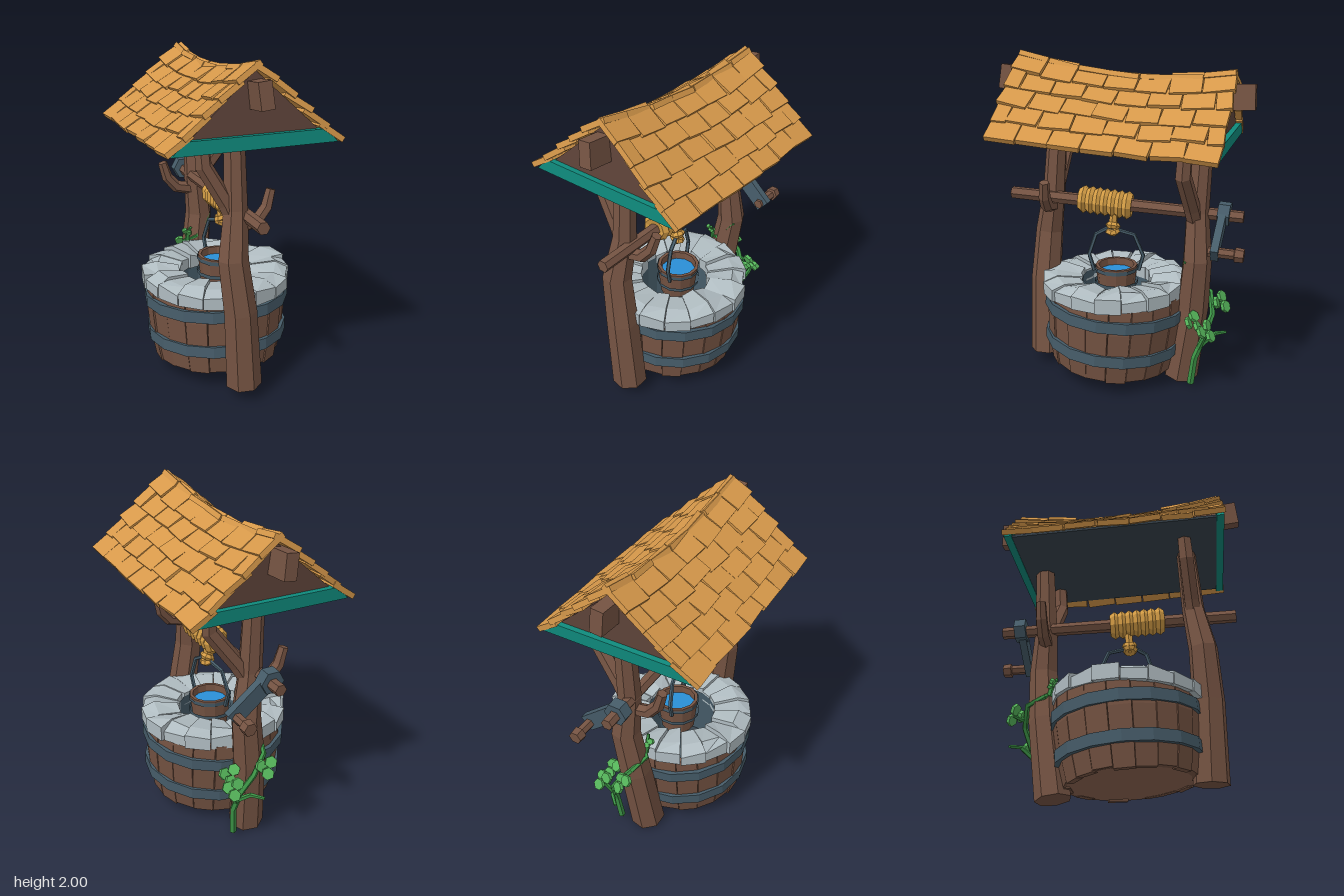
import * as THREE from 'three';

const mat = (color) => new THREE.MeshStandardMaterial({ color, flatShading: true, side: THREE.DoubleSide });
const WOOD = mat(0x765443), DARKWOOD = mat(0x5f443a), BASEWOOD = mat(0x8a6350), SHINGLE = mat(0xd6984a);
const ROPE = mat(0xd39c45), IRON = mat(0x465c69), STONE = mat(0xb0bcc1), TEAL = mat(0x0f8a7c), DARK = mat(0x36424b);
const LEAF = mat(0x55b45a), STEM = mat(0x3c9446), WATER = mat(0x2a8fd6);

let seed = 7;
const rand = () => ((seed = (seed * 16807) % 2147483647) / 2147483647);
const jit = (a) => (rand() * 2 - 1) * a;
const V = (x, y, z) => new THREE.Vector3(x, y, z);

function add(parent, name, geo, material, x = 0, y = 0, z = 0) {
  const m = new THREE.Mesh(geo, material);
  m.name = name;
  m.position.set(x, y, z);
  parent.add(m);
  return m;
}

// move every vertex of a geometry by a rule
function warp(geo, rule) {
  const p = geo.attributes.position, v = new THREE.Vector3();
  for (let i = 0; i < p.count; i++) {
    rule(v.fromBufferAttribute(p, i));
    p.setXYZ(i, v.x, v.y, v.z);
  }
  geo.computeVertexNormals();
  return geo;
}

// tapered branch through points [x, y, z, radius], listed from base to tip
function limb(points, sides = 6) {
  const n = points.length - 1, c = points.map((p) => V(p[0], p[1], p[2]));
  const turns = c.map((_, i) => new THREE.Quaternion().setFromUnitVectors(V(0, 1, 0),
    c[Math.min(n, i + 1)].clone().sub(c[Math.max(0, i - 1)]).normalize()));
  return warp(new THREE.CylinderGeometry(1, 1, 1, sides, n), (v) => {
    const i = Math.round((v.y + 0.5) * n);
    v.y = 0;
    v.multiplyScalar(points[i][3]).applyQuaternion(turns[i]).add(c[i]);
  });
}

// sagging ridge, a little higher at the +x end
const ridgeY = (x) => 1.8 + 0.08 * (x / 0.66) ** 2 + 0.015 * (x / 0.66);
const EAVE = 1.458, REACH = 0.475;

function buildRoof(parent) {
  const roof = new THREE.Group();
  roof.name = 'roof';
  roof.position.x = 0.01;
  roof.rotation.z = -0.02;
  parent.add(roof);
  // gabled core and its underside
  add(roof, 'gableCore', warp(new THREE.BoxGeometry(1.24, 1, 0.84, 8, 1, 1), (v) => {
    if (v.y > 0) { v.y = ridgeY(v.x) - 0.015; v.z *= 0.01; } else v.y = 1.49;
  }), DARKWOOD);
  add(roof, 'ceiling', new THREE.BoxGeometry(1.24, 0.015, 0.88), DARK, 0, 1.482, 0);
  for (const s of [-1, 1]) {
    const beam = add(roof, 'ridgeBeamEnd', new THREE.BoxGeometry(0.22, 0.145, 0.075), WOOD, s * 0.655, 1.755, 0);
    beam.rotation.set(0.1, 0, s * 0.08);
    add(roof, 'gableTrim', warp(new THREE.BoxGeometry(0.045, 0.075, 0.93), (v) => {
      if (v.y > 0) v.z *= 0.86;
    }), TEAL, s * 0.63, 1.508, 0);
  }

  // overlapping rows of shingles on both slopes
  const rows = 5, cols = 7, half = 0.66, w = (2 * half) / cols;
  for (const s of [1, -1]) {
    const slope = new THREE.Group();
    slope.name = 'shingleSlope';
    slope.rotation.y = s > 0 ? 0 : Math.PI;
    roof.add(slope);
    const top = (x) => ridgeY(x * s);
    for (let r = 0; r < rows; r++) {
      const shift = (r % 2) * 0.5;
      for (let i = 0; i < cols + (r % 2); i++) {
        const x0 = Math.max(-half, -half + (i - shift) * w), x1 = Math.min(half, -half + (i + 1 - shift) * w);
        const x = (x0 + x1) / 2, t = (r + 0.5) / rows;
        const rise = top(x) - EAVE;
        const along = V(1, (top(x + 0.01) - top(x - 0.01)) / 0.02 * (1 - t), 0).normalize();
        const down = V(0, -rise, REACH).normalize();
        const up = down.clone().cross(along).normalize();
        const geo = new THREE.BoxGeometry(x1 - x0 - 0.006, 0.032, 0.168 + jit(0.02));
        geo.rotateX(-0.1 + jit(0.04)).rotateY(jit(0.07)).rotateZ(jit(0.05));
        const frame = new THREE.Matrix4().makeBasis(along, up, along.clone().cross(up));
        frame.setPosition(x, top(x) - rise * t + 0.022 + jit(0.005), REACH * t);
        add(slope, 'shingle', geo.applyMatrix4(frame), SHINGLE);
      }
    }
  }
}

function buildBarrel(parent) {
  const barrel = new THREE.Group();
  barrel.name = 'barrel';
  parent.add(barrel);
  // bulging staves
  const staves = 20;
  for (let i = 0; i < staves; i++) {
    const low = jit(0.008), out = jit(0.006);
    const g = warp(new THREE.BoxGeometry(0.126, 0.5, 0.04, 1, 3, 1), (v) => {
      const t = v.y / 0.5 + 0.5;
      v.x *= 0.93 + 0.1 * Math.sin(t * 2.2);
      v.z += 0.36 + 0.045 * Math.sin(t * 2.2) + out;
      v.y += 0.295 + low;
    });
    add(barrel, 'stave', g.rotateY((i / staves) * Math.PI * 2), WOOD);
  }
  add(barrel, 'barrelBase', new THREE.CylinderGeometry(0.375, 0.365, 0.04, 20), BASEWOOD, 0, 0.07, 0);
  add(barrel, 'barrelLining', new THREE.CylinderGeometry(0.385, 0.36, 0.46, 20, 1, true), DARKWOOD, 0, 0.3, 0);
  // iron hoops
  for (const [y, r] of [[0.2, 0.435], [0.425, 0.448]]) {
    const p = [[-0.04, -0.035], [0, -0.035], [0, 0.035], [-0.04, 0.035], [-0.04, -0.035]];
    add(barrel, 'hoop', new THREE.LatheGeometry(p.map(([a, b]) => new THREE.Vector2(r + a, b)), 16), IRON, 0, y, 0);
  }
  add(barrel, 'wellShaft', new THREE.CylinderGeometry(0.225, 0.225, 0.46, 18, 1, true), IRON, 0, 0.33, 0);
  add(barrel, 'shaftFloor', new THREE.CylinderGeometry(0.225, 0.225, 0.02, 18), DARK, 0, 0.2, 0);

  // chiselled wedge stones, laid level
  const rim = new THREE.Group();
  rim.name = 'stoneRim';
  rim.position.set(0.015, 0.545, 0);
  rim.rotation.z = -0.07;
  barrel.add(rim);
  const stones = 18;
  for (let i = 0; i < stones; i++) {
    const h = [0, 1, 2, 3].map(() => jit(0.018)), far = 0.45 + jit(0.012), near = 0.22 + jit(0.014);
    add(rim, 'rimStone', warp(new THREE.BoxGeometry(1, 1, 1, 1, 1, 2), (v) => {
      const ang = (i + 0.5 + v.x * 0.97) * (Math.PI * 2 / stones);
      const rad = v.z < -0.1 ? near : v.z > 0.1 ? far : 0.37;
      const y = v.y < 0 ? -0.035 : 0.042 + h[(v.x > 0 ? 1 : 0) + (v.z > 0.1 ? 2 : 0)] + (Math.abs(v.z) < 0.1 ? 0.022 : 0);
      v.set(Math.sin(ang) * rad, y, Math.cos(ang) * rad);
    }), STONE);
  }
}

function buildWinch(parent) {
  const winch = new THREE.Group();
  winch.name = 'winch';
  parent.add(winch);
  // axle, crank and handle
  add(winch, 'axle', limb([[-0.73, 1.08, -0.01, 0.036], [0, 1.057, -0.02, 0.04], [0.715, 1.033, -0.02, 0.038]]), WOOD);
  add(winch, 'crankHub', new THREE.CylinderGeometry(0.072, 0.072, 0.07, 6).rotateZ(Math.PI / 2), IRON, -0.615, 1.085, -0.01);
  const arm = add(winch, 'crankArm', new THREE.BoxGeometry(0.045, 0.1, 0.3), IRON, -0.61, 0.99, -0.125);
  arm.rotation.x = -0.7;
  add(winch, 'crankHandle', limb([[-0.57, 0.91, -0.215, 0.03], [-0.72, 0.915, -0.215, 0.03],
    [-0.725, 0.915, -0.215, 0.044], [-0.775, 0.915, -0.215, 0.04]]), WOOD);
  // rope coil, drop and knot
  for (let i = 0; i < 7; i++) {
    const coil = add(winch, 'ropeCoil', new THREE.TorusGeometry(0.057, 0.031, 5, 9), ROPE, -0.03 + i * 0.046, 1.055, -0.02);
    coil.rotation.set(0, Math.PI / 2 + 0.1, 0);
  }
  add(winch, 'ropeDrop', limb([[0.05, 0.9, -0.03, 0.026], [0.05, 1.05, -0.03, 0.026]]), ROPE);
  for (const [y, tilt] of [[0.915, 0.35], [0.885, -0.35]]) {
    const knot = add(winch, 'ropeKnot', new THREE.TorusGeometry(0.027, 0.021, 5, 8), ROPE, 0.05, y, -0.03);
    knot.rotation.x = Math.PI / 2 + tilt;
  }

  // bucket with its bail
  const bucket = new THREE.Group();
  bucket.name = 'bucket';
  bucket.position.set(-0.03, 0, -0.01);
  bucket.rotation.set(0, 0.26, -0.068);
  winch.add(bucket);
  const wall = [[0.001, 0.46], [0.105, 0.46], [0.13, 0.67], [0.11, 0.67], [0.1, 0.5], [0.001, 0.5]];
  add(bucket, 'bucketWall', new THREE.LatheGeometry(wall.map(([a, b]) => new THREE.Vector2(a, b)), 12), WOOD);
  for (const y of [0.56, 0.65])
    add(bucket, 'bucketHoop', new THREE.CylinderGeometry(0.136, 0.133, 0.025, 12, 1, true), IRON, 0, y, 0);
  add(bucket, 'bucketWater', new THREE.CylinderGeometry(0.106, 0.106, 0.01, 12), WATER, 0, 0.62, 0);
  const bail = [[-0.138, 0.63], [-0.165, 0.725], [-0.11, 0.86], [0.02, 0.9], [0.06, 0.9], [0.125, 0.865],
    [0.168, 0.735], [0.138, 0.63]];
  add(bucket, 'bail', limb(bail.map(([x, y]) => [x, y, 0, 0.013]), 5), IRON);
}

function buildVine(parent) {
  const vine = new THREE.Group();
  vine.name = 'vine';
  parent.add(vine);
  const stems = [
    [[-0.25, 0.02, -0.385], [-0.26, 0.2, -0.41], [-0.31, 0.34, -0.43], [-0.38, 0.46, -0.4], [-0.41, 0.57, -0.32],
      [-0.35, 0.61, -0.22], [-0.26, 0.66, -0.24], [-0.22, 0.8, -0.34]],
    [[-0.29, 0.28, -0.42], [-0.38, 0.35, -0.44], [-0.46, 0.34, -0.43]],
    [[-0.28, 0.26, -0.42], [-0.28, 0.34, -0.47], [-0.29, 0.4, -0.5]],
    [[-0.39, 0.5, -0.38], [-0.43, 0.5, -0.37], [-0.47, 0.51, -0.37]],
    [[-0.32, 0.62, -0.22], [-0.31, 0.68, -0.21], [-0.28, 0.73, -0.2]],
  ];
  stems.forEach((pts, i) => {
    const r = i ? 0.016 : 0.02;
    add(vine, 'stem', limb(pts.map((p, k) => [...p, r * (1.1 - 0.5 * k / (pts.length - 1))]), 5), STEM);
  });
  // three-lobed leaf clusters
  for (const [x, y, z] of [[-0.29, 0.4, -0.49], [-0.45, 0.52, -0.38], [-0.31, 0.69, -0.2], [-0.24, 0.44, -0.42]])
    for (let k = 0; k < 3; k++) {
      const a = (k / 3) * Math.PI * 2, size = y > 0.6 ? 0.5 : 1;
      const leaf = add(vine, 'leaf', new THREE.CylinderGeometry(0.037 * size, 0.037 * size, 0.022, 6), LEAF,
        x + Math.cos(a) * 0.032 * size, y + Math.sin(a) * 0.028 * size, z + Math.sin(a) * 0.028 * size);
      leaf.rotation.set(-0.9 + jit(0.3), 0, 0.6 + jit(0.3));
    }
}

export function createModel() {
  const model = new THREE.Group();
  model.name = 'well';
  // the whole well stands turned and leaning slightly
  const well = new THREE.Group();
  well.name = 'leaningWell';
  well.position.set(0.078, 0.035, 0.063);
  well.rotation.set(0, -0.68, 0.068);
  model.add(well);

  // crooked posts, each with a brace and a broken branch; the second brace spreads wider
  for (const [turn, a, b] of [[0, 0, 0], [Math.PI, -0.05, 0.06]]) {
    const side = new THREE.Group();
    side.name = 'postSide';
    side.rotation.y = turn;
    well.add(side);
    add(side, 'post', limb([[0.447, 0, 0, 0.108], [0.485, 0.48, 0.03, 0.098], [0.49, 0.8, 0.07, 0.088],
      [0.46, 1.08, 0.04, 0.07], [0.455, 1.52, 0.04, 0.06]], 7), WOOD);
    add(side, 'brace', limb([[0.46, 1.0, 0.04, 0.05], [0.455 + a / 3, 1.12, 0.09 + b / 3, 0.05],
      [0.45 + a, 1.34, 0.215 + b, 0.048], [0.45 + a, 1.5, 0.225 + b, 0.044]]), WOOD);
    add(side, 'brokenBranch', limb([[0.46, 0.97, 0.04, 0.042], [0.46, 1.0, -0.09, 0.04], [0.455, 1.07, -0.15, 0.036],
      [0.45, 1.17, -0.18, 0.03]]), WOOD);
  }
  buildBarrel(well);
  buildWinch(well);
  buildRoof(well);
  buildVine(model);
  return model;
}
